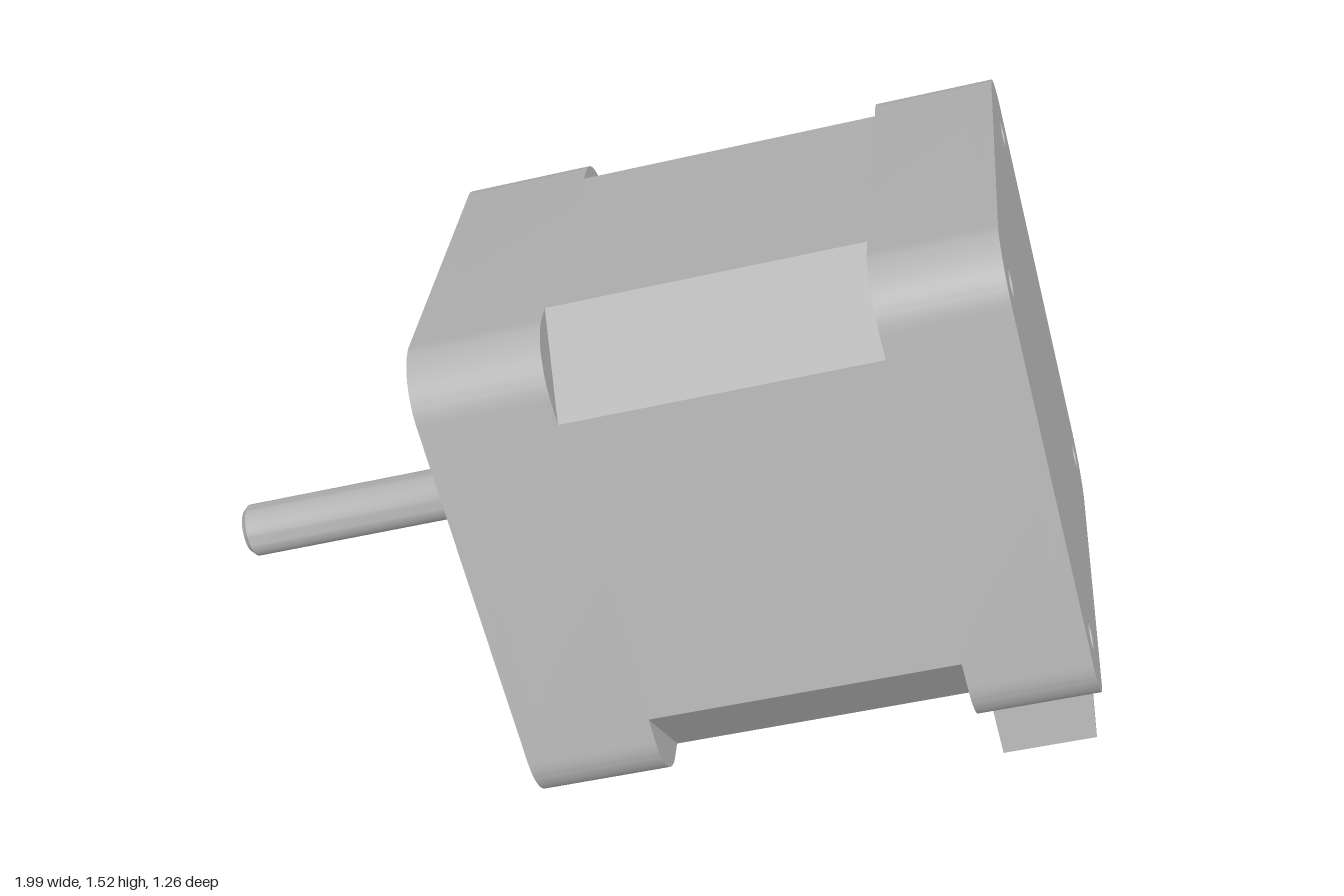
import * as THREE from 'three';
import { toCreasedNormals } from 'three/addons/utils/BufferGeometryUtils.js';

const HALF = 0.55;    // half width of the square housing
const LENGTH = 1.25;  // housing length along the motor axis (local x)

// Square outline with rounded corners
function roundedSquare(r) {
  const s = new THREE.Shape();
  const k = HALF - r;
  [[k, k], [-k, k], [-k, -k], [k, -k]].forEach(([x, y], i) =>
    s.absarc(x, y, r, i * Math.PI / 2, (i + 1) * Math.PI / 2, false));
  s.closePath();
  return s;
}

// Square outline with cut-off corners
function chamferedSquare(c) {
  const h = HALF, k = HALF - c;
  return new THREE.Shape([[h, k], [k, h], [-k, h], [-h, k], [-h, -k], [-k, -h], [k, -h], [h, -k]]
    .map(([x, y]) => new THREE.Vector2(x, y)));
}

// Extrude an outline along local x, from x0 to x1
function slab(shape, x0, x1) {
  const g = new THREE.ExtrudeGeometry(shape, { depth: x1 - x0, bevelEnabled: false, curveSegments: 10 });
  g.rotateY(Math.PI / 2);
  g.translate(x0, 0, 0);
  return toCreasedNormals(g, 0.6);
}

// Solid of revolution along local -x from [radius, distance] points
function turned(points) {
  const g = new THREE.LatheGeometry(points.map(([r, d]) => new THREE.Vector2(r, d)), 40);
  g.rotateZ(Math.PI / 2);
  return toCreasedNormals(g, 0.5);
}

export function createModel() {
  const model = new THREE.Group();
  model.name = 'motor';
  const grey = new THREE.MeshStandardMaterial({ color: 0xb4b4b4 });
  grey.name = 'grey metal';

  const add = (name, geometry) => {
    const mesh = new THREE.Mesh(geometry, grey);
    mesh.name = name;
    model.add(mesh);
    return mesh;
  };

  // End plates with four shallow screw holes
  const plate = roundedSquare(0.13);
  for (const y of [-0.425, 0.425]) for (const z of [-0.425, 0.425]) {
    const hole = new THREE.Path();
    hole.absarc(z, y, 0.032, 0, Math.PI * 2, true);
    plate.holes.push(hole);
  }
  add('shaftEndPlate', slab(plate, 0, 0.04));
  add('rearEndPlate', slab(plate, LENGTH - 0.04, LENGTH));

  // Rounded end caps and the chamfered middle section
  add('shaftEndCap', slab(roundedSquare(0.13), 0.04, 0.29));
  add('middleSection', slab(chamferedSquare(0.185), 0.29, 0.98));
  add('rearEndCap', slab(roundedSquare(0.13), 0.98, LENGTH - 0.04));

  // Locating disc and output shaft
  add('locatingDisc', turned([[0, -0.01], [0.29, -0.01], [0.29, 0.03], [0.283, 0.037], [0, 0.037]]));
  add('shaft', turned([[0, 0], [0.07, 0.02], [0.07, 0.04], [0.061, 0.06], [0.061, 0.625], [0.05, 0.637], [0, 0.637]]));

  // Cable connector under the rear end
  const side = new THREE.Shape();
  side.moveTo(0.96, -0.5);
  side.lineTo(0.96, -0.55);
  side.quadraticCurveTo(1.0, -0.56, 1.0, -0.61);
  side.lineTo(1.0, -0.72);
  side.lineTo(1.21, -0.72);
  side.lineTo(1.225, -0.57);
  side.lineTo(1.225, -0.5);
  side.closePath();
  const connector = new THREE.ExtrudeGeometry(side, { depth: 0.71, bevelEnabled: false, curveSegments: 8 });
  connector.translate(0, 0, -0.345);
  add('connector', toCreasedNormals(connector, 0.5));

  // Tilt the whole motor to its resting pose
  const axis = new THREE.Vector3(0.964, 0.264, -0.025).normalize();
  const across = new THREE.Vector3().crossVectors(axis, new THREE.Vector3(-0.255, 0.952, -0.169)).normalize();
  const up = new THREE.Vector3().crossVectors(across, axis);
  model.applyMatrix4(new THREE.Matrix4().makeBasis(axis, up, across).setPosition(-0.37, 0.598, 0.009));

  const root = new THREE.Group();
  root.name = 'tiltedMotor';
  root.add(model);
  return root;
}
